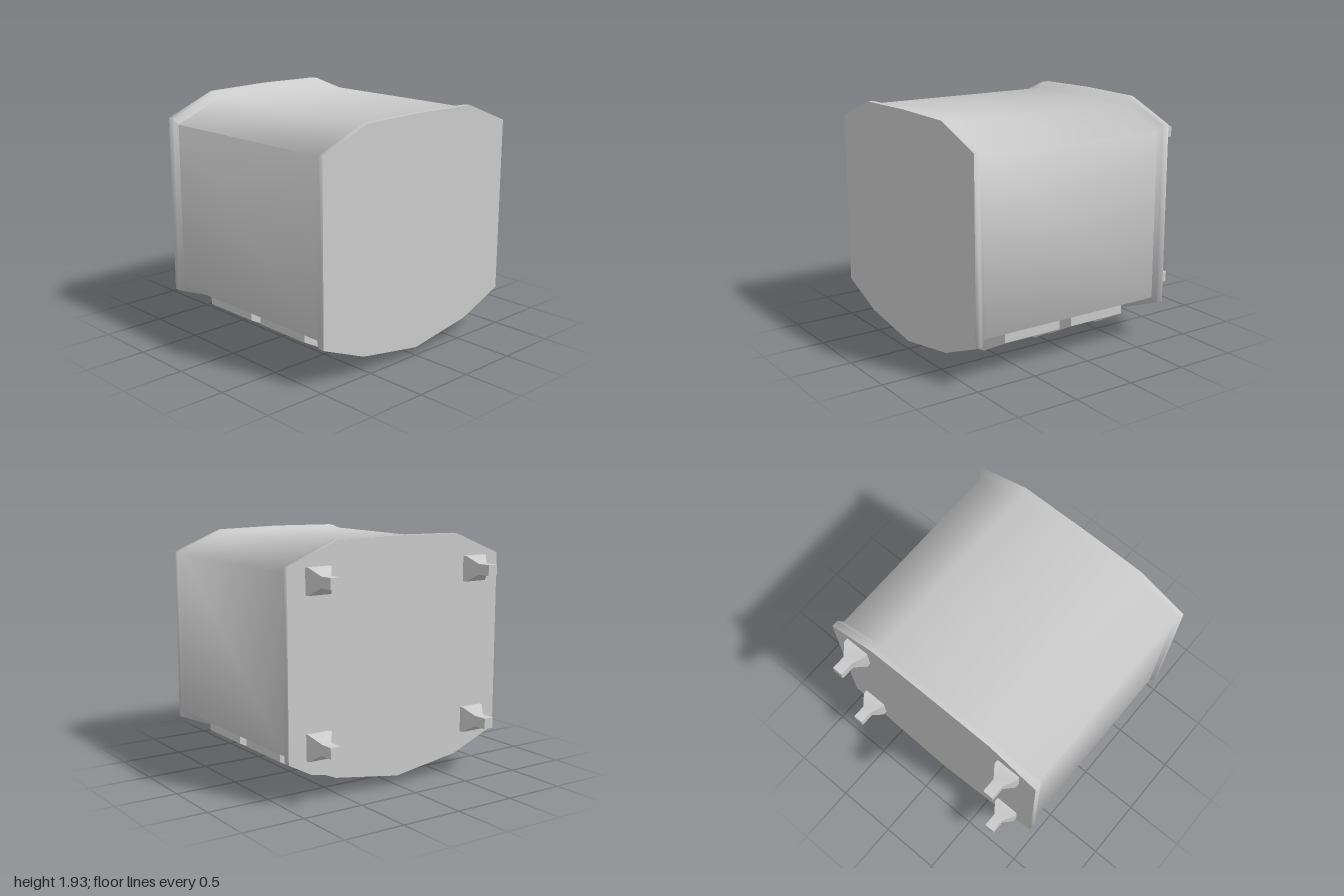
import * as THREE from 'three';
import { toCreasedNormals } from 'three/addons/utils/BufferGeometryUtils.js';

const grey = new THREE.MeshStandardMaterial({ color: 0xcccccc });

function add(parent, name, geometry) {
  const mesh = new THREE.Mesh(geometry, grey);
  mesh.name = name;
  parent.add(mesh);
  return mesh;
}

// Skin a list of sections { z, pts } (counter-clockwise seen from +z, z falling), capped at both ends.
function loft(sections, crease) {
  const pos = [], idx = [], n = sections[0].pts.length;
  for (const { z, pts } of sections) for (const [x, y] of pts) pos.push(x, y, z);
  for (let s = 0; s < sections.length - 1; s++) {
    for (let i = 0; i < n; i++) {
      const a = s * n + i, b = s * n + (i + 1) % n;
      idx.push(a, a + n, b, b, a + n, b + n);
    }
  }
  const last = (sections.length - 1) * n;
  for (let i = 1; i < n - 1; i++) {
    idx.push(0, i, i + 1, last, last + i + 1, last + i);
  }
  const g = new THREE.BufferGeometry();
  g.setAttribute('position', new THREE.Float32BufferAttribute(pos, 3));
  g.setIndex(idx);
  return toCreasedNormals(g, crease);
}

// Mirror a right-hand half profile (bottom centre to top centre) into a full loop.
const mirrorLoop = (half) => [...half, ...half.slice(1, -1).reverse().map(([x, y]) => [-x, y])];

const square = (r) => [[-r, -r], [r, -r], [r, r], [-r, r]];

function extrude(pts, z0, z1) {
  const shape = new THREE.Shape(pts.map(([x, y]) => new THREE.Vector2(x, y)));
  return new THREE.ExtrudeGeometry(shape, { depth: z1 - z0, bevelEnabled: false }).translate(0, 0, z0);
}

export function createModel() {
  const model = new THREE.Group();
  model.name = 'housing';

  // Main shell, flared into a rim at each end
  const frontRim = mirrorLoop([[0, 0.065], [0.57, 0.155], [0.98, 0.32], [0.98, 1.725], [0.56, 1.89], [0, 1.9]]);
  const body = mirrorLoop([[0, 0.125], [0.56, 0.21], [0.955, 0.365], [0.955, 1.705], [0.55, 1.87], [0, 1.88]]);
  const backRim = mirrorLoop([[0, 0.075], [0.57, 0.16], [0.98, 0.325], [0.98, 1.75], [0.56, 1.92], [0, 1.93]]);
  add(model, 'shell', loft([
    { z: 1, pts: frontRim }, { z: 0.95, pts: frontRim }, { z: 0.91, pts: body },
    { z: -0.68, pts: body }, { z: -0.715, pts: backRim }, { z: -0.77, pts: backRim },
  ], 1.3));

  // Four pegs on the back, each with a tapered square base
  for (const x of [-0.73, 0.73]) {
    for (const y of [0.433, 1.643]) {
      const peg = add(model, 'backPeg', loft([
        { z: -0.76, pts: square(0.1) }, { z: -0.805, pts: square(0.1) },
        { z: -0.885, pts: square(0.042) }, { z: -1, pts: square(0.042) },
      ], 0.9));
      peg.position.set(x, y, 0);
    }
  }

  // Two framed trays wrapped under the belly
  const wall = mirrorLoop([[0, 0], [0.58, 0.1], [0.86, 0.25], [0.86, 0.326], [0.56, 0.23], [0, 0.15]]);
  const floor = mirrorLoop([[0, 0.04], [0.57, 0.135], [0.84, 0.275], [0.84, 0.318], [0.56, 0.23], [0, 0.15]]);
  for (const z of [0.418, -0.195]) {
    const tray = new THREE.Group();
    tray.name = 'bellyTray';
    tray.position.z = z;
    model.add(tray);
    add(tray, 'trayFloor', extrude(floor, -0.24, 0.24));
    add(tray, 'frontWall', extrude(wall, 0.227, 0.252));
    add(tray, 'backWall', extrude(wall, -0.252, -0.227));
    add(tray, 'leftWall', extrude([[0.83, 0.234], [0.86, 0.25], [0.86, 0.326], [0.83, 0.316]], -0.23, 0.23));
    add(tray, 'rightWall', extrude([[-0.83, 0.234], [-0.83, 0.316], [-0.86, 0.326], [-0.86, 0.25]], -0.23, 0.23));

    // Oval plug at the middle of the tray
    const plug = add(tray, 'plug', new THREE.CylinderGeometry(1, 1, 0.085, 12));
    plug.scale.set(0.22, 1, 0.16);
    plug.position.y = 0.0575;
  }
  return model;
}
